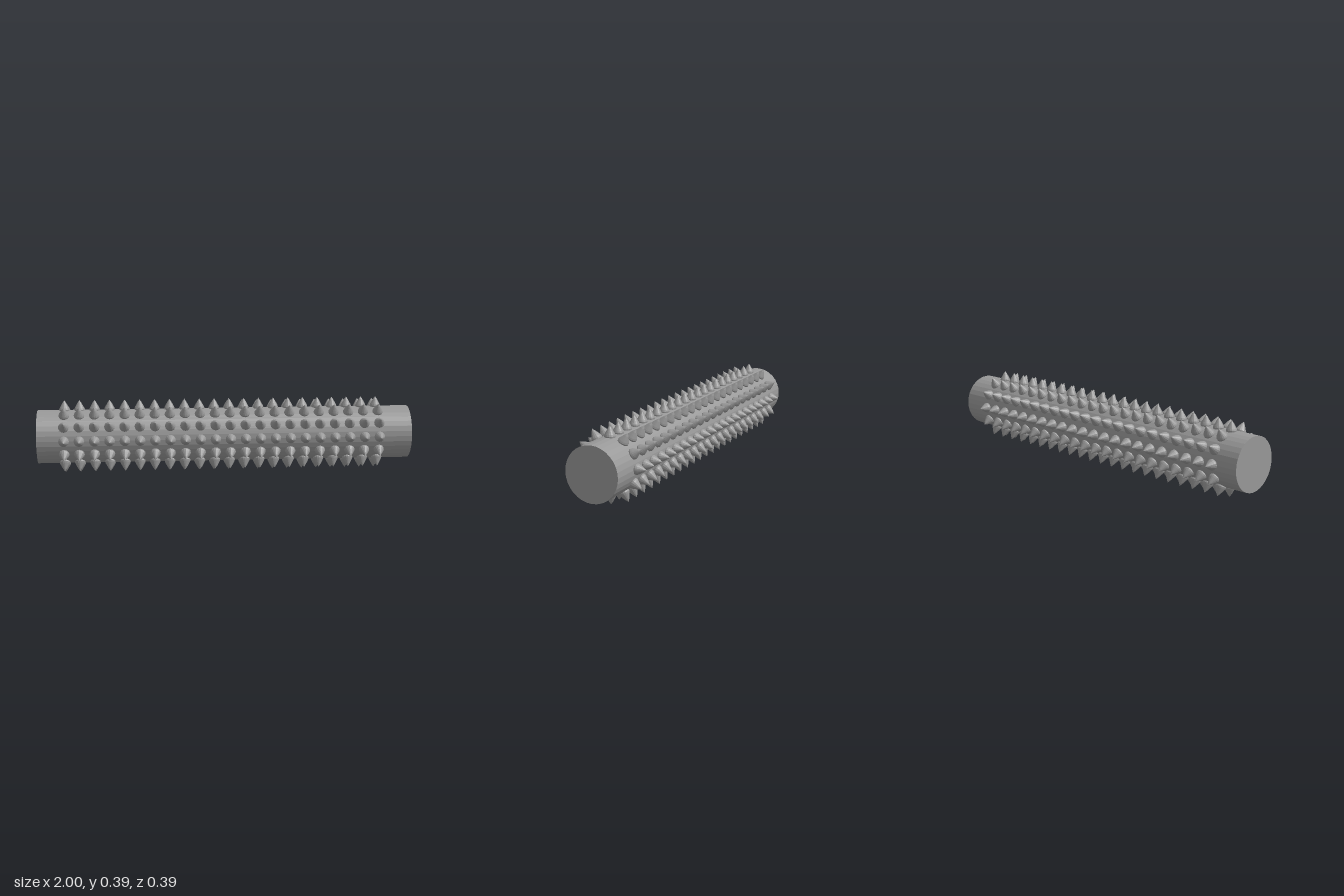
import * as THREE from 'three';

const AXIS_Y = 0.196;      // height of the roller axis
const BODY_R = 0.142;
const RINGS = 22, PER_RING = 12, FIRST_X = -0.857, STEP = 0.08;

export function createModel() {
  const model = new THREE.Group();
  model.name = 'spikedRoller';
  const material = new THREE.MeshStandardMaterial({ color: 0x999999, flatShading: true });

  // Plain bar lying along x
  const body = new THREE.Mesh(new THREE.CylinderGeometry(BODY_R, BODY_R, 2, 32), material);
  body.name = 'rollerBody';
  body.rotation.z = Math.PI / 2;
  body.position.y = AXIS_Y;
  model.add(body);

  // Pointed spike, root sunk into the bar; y is distance from the axis
  const profile = [
    [0.026, 0.13], [0.028, 0.147], [0.025, 0.155], [0.0185, 0.167], [0.01, 0.182], [0, 0.196],
  ].map(([r, y]) => new THREE.Vector2(r, y));
  const spikeGeometry = new THREE.LatheGeometry(profile, 16);

  // Evenly spaced rings of spikes along the bar
  for (let i = 0; i < RINGS; i++) {
    const ring = new THREE.Group();
    ring.name = `spikeRing${i + 1}`;
    ring.position.set(FIRST_X + i * STEP, AXIS_Y, 0);
    for (let j = 0; j < PER_RING; j++) {
      const spike = new THREE.Mesh(spikeGeometry, material);
      spike.name = 'spike';
      spike.rotation.x = (j / PER_RING) * Math.PI * 2;
      ring.add(spike);
    }
    model.add(ring);
  }
  return model;
}
